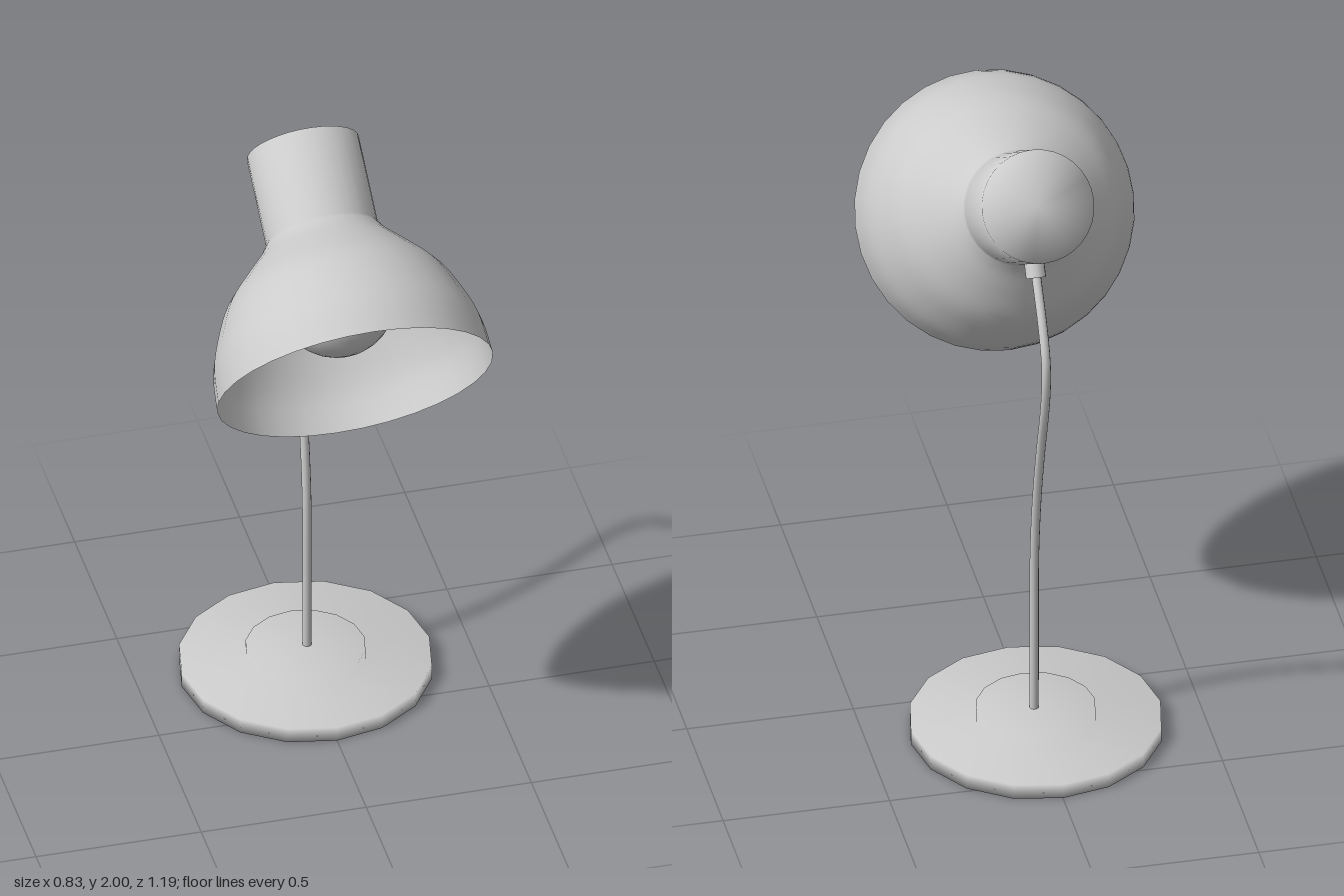
import * as THREE from 'three';

const grey = new THREE.MeshStandardMaterial({ color: 0xcccccc, side: THREE.DoubleSide });

function part(name, geometry, parent) {
  const mesh = new THREE.Mesh(geometry, grey);
  mesh.name = name;
  parent.add(mesh);
  return mesh;
}

const v2 = ([x, y]) => new THREE.Vector2(x, y);
const lathe = (points, sides) => new THREE.LatheGeometry(points, sides);

export function createModel() {
  const lamp = new THREE.Group();
  lamp.name = 'deskLamp';

  // Stepped round foot
  const base = part('base', lathe([
    [0, 0], [0.375, 0], [0.375, 0.047], [0.178, 0.047], [0.178, 0.083], [0, 0.083],
  ].map(v2), 16), lamp);
  base.position.z = -0.22;

  // Bent stem, given as (y, z) stations
  const path = new THREE.CatmullRomCurve3([
    [0.06, -0.225], [0.35, -0.226], [0.6, -0.229], [0.825, -0.26], [1.03, -0.312],
    [1.23, -0.375], [1.34, -0.394], [1.41, -0.386], [1.5, -0.341], [1.63, -0.247],
  ].map(([y, z]) => new THREE.Vector3(0.006, y, z)));
  part('stem', new THREE.TubeGeometry(path, 48, 0.014, 10), lamp);

  // Tilted head: local +y runs along the axis out through the closed end
  const head = new THREE.Group();
  head.name = 'head';
  head.position.set(0, 1.86, -0.2525);
  head.rotation.x = -0.983;
  lamp.add(head);

  // Bell from the mouth up to the neck, then the straight neck and its cap
  const bell = new THREE.SplineCurve([
    [0.414, -0.746], [0.403, -0.636], [0.368, -0.538], [0.322, -0.451],
    [0.253, -0.375], [0.196, -0.317], [0.168, -0.277],
  ].map(v2)).getPoints(24);
  part('shade', lathe([...bell, v2([0.168, 0]), v2([0, 0])], 32), head);

  // Bulb: round globe tapering into a socket stub inside the neck
  const globe = [];
  for (let i = 0; i <= 14; i++) {
    const a = -Math.PI / 2 + (i / 14) * 2.55;
    globe.push(v2([0.178 * Math.cos(a), -0.475 + 0.178 * Math.sin(a)]));
  }
  globe[0].x = 0;
  part('bulb', lathe([...globe, v2([0.075, -0.28]), v2([0.07, -0.01])], 24), head);

  // Small collar joining the stem to the neck
  const collar = part('collar', new THREE.CylinderGeometry(0.03, 0.03, 0.05, 12), head);
  collar.position.set(0.006, -0.139, -0.183);
  collar.rotation.x = Math.PI / 2;

  return lamp;
}
